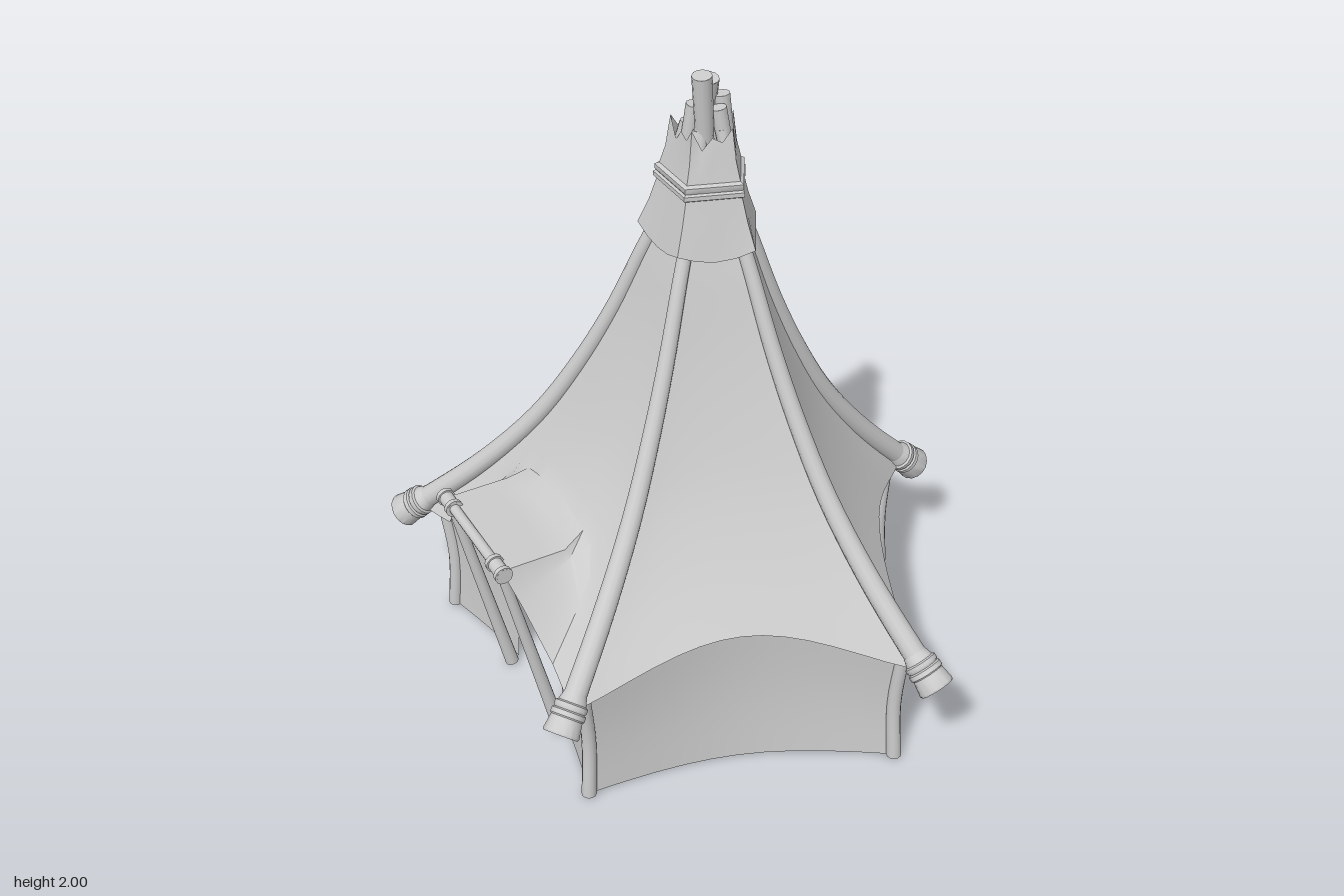
import * as THREE from 'three';
import { toCreasedNormals } from 'three/addons/utils/BufferGeometryUtils.js';
import { ParametricGeometry } from 'three/addons/geometries/ParametricGeometry.js';

const solid = new THREE.MeshStandardMaterial({ color: 0xcccccc });
const cloth = new THREE.MeshStandardMaterial({ color: 0xcccccc, side: THREE.DoubleSide });
const V = (x, y, z) => new THREE.Vector3(x, y, z);
const { lerp, clamp } = THREE.MathUtils;

// Plan: five pole tips around the peak; f = 0 at the peak axis, 1 at a tip
const AXIS = [-0.02, 0.03];
const TIPS = [[0.78, -0.03], [0.24, 0.88], [-0.76, 0.53], [-0.76, -0.61], [0.24, -0.9]];
const DOOR = 2; // the side with the doorway
const at = (k, f, y) => V(
  lerp(AXIS[0], TIPS[k % 5][0], f), y, lerp(AXIS[1], TIPS[k % 5][1], f));

// Pole profile from tip to peak: x = f, y = height
const SPINE = new THREE.CatmullRomCurve3([
  [1, 0.36], [0.93, 0.415], [0.715, 0.6], [0.53, 0.8], [0.395, 1], [0.285, 1.2],
  [0.195, 1.4], [0.15, 1.5], [0.1, 1.68], [0.06, 1.82],
].map(([f, y]) => V(f, y, 0)));

// Point on a side between corners k and k+1, pulled inward by inset
function side(k, u, f, y, inset = 0) {
  const s = f * (1 - inset * 4 * u * (1 - u));
  return at(k, s, y).lerp(at(k + 1, s, y), u);
}

// Rise of the eaves towards the middle of a side
const eaves = (u) => 0.115 * Math.pow(4 * u * (1 - u), 1.3);

function add(parent, name, geometry, material = solid) {
  const mesh = new THREE.Mesh(geometry, material);
  mesh.name = name;
  parent.add(mesh);
  return mesh;
}

function sheet(parent, name, fn, nu, nv, crease = 0.6) {
  const geo = new ParametricGeometry((u, v, p) => p.copy(fn(u, v)), nu, nv);
  return add(parent, name, toCreasedNormals(geo, crease), cloth);
}

// Tapered tube along a curve, with end caps
function rod(parent, name, points, r0, r1, segments = 1, sides = 12) {
  const curve = points.length > 2 ? new THREE.CatmullRomCurve3(points) : new THREE.LineCurve3(...points);
  const geo = new THREE.TubeGeometry(curve, segments, 1, sides);
  const pos = geo.attributes.position, p = V(0, 0, 0);
  for (let i = 0; i < pos.count; i++) {
    const t = Math.floor(i / (sides + 1)) / segments, c = curve.getPointAt(t);
    p.fromBufferAttribute(pos, i).sub(c).multiplyScalar(lerp(r0, r1, t)).add(c);
    pos.setXYZ(i, p.x, p.y, p.z);
  }
  add(parent, name, geo);
  for (const [t, r, sign] of [[0, r0, -1], [1, r1, 1]]) {
    const cap = add(parent, name + 'End', new THREE.CircleGeometry(r, sides));
    cap.position.copy(curve.getPointAt(t));
    cap.quaternion.setFromUnitVectors(V(0, 0, 1), curve.getTangentAt(t).multiplyScalar(sign));
  }
  return curve;
}

// Roof cloth; the door side is lifted into a flat awning with sloping cheeks
function roofPoint(k, u, v) {
  const s = SPINE.getPoint(lerp(0.82, 0.105, v));
  const p = side(k, u, s.x, s.y + (eaves(u) - 0.035) * v * v, (k === DOOR ? 0.05 : 0.15) * v);
  if (k === DOOR && p.y < 0.675) {
    const w = clamp((Math.min(u, 1 - u) - 1 / 7) * 7, 0, 1);
    const out = clamp((0.675 - p.y) / 0.175, 0, 1);
    const z = lerp(0.18, -0.21, clamp((u - 2 / 7) / (3 / 7), 0, 1));
    p.lerp(V(lerp(-0.52, -0.765, out), 0.675, z), w);
  }
  return p;
}

// Wall cloth, tucked up under the roof and waisted a little half way down
function wallPoint(k, u, v) {
  const f = 0.87 - 0.01 * v - 0.018 * Math.sin(Math.PI * v);
  return side(k, u, f, (0.395 + eaves(u)) * (1 - v), 0.125);
}

export function createModel() {
  const tent = new THREE.Group();
  tent.name = 'tent';

  const knob = [[0, 0], [0.051, 0], [0.054, 0.006], [0.047, 0.05], [0.051, 0.054], [0.051, 0.068],
    [0.045, 0.072], [0.049, 0.077], [0.049, 0.09], [0.042, 0.094], [0.034, 0.12]]
    .map(([r, y]) => new THREE.Vector2(r, y));

  for (let k = 0; k < 5; k++) {
    // Curved roof pole with a ringed end
    const path = SPINE.points.map((s) => at(k, s.x, s.y));
    const curve = rod(tent, 'roofPole', path, 0.035, 0.017, 28);
    const end = add(tent, 'poleEnd', toCreasedNormals(new THREE.LatheGeometry(knob, 16), 0.7));
    end.position.copy(curve.getPoint(0)).addScaledVector(curve.getTangent(0), -0.015);
    end.quaternion.setFromUnitVectors(V(0, 1, 0), curve.getTangent(0));

    sheet(tent, 'roofPanel', (u, v) => roofPoint(k, u, v), 14, 24);

    // Corner post and wall cloth; the door side leaves a gap in the middle
    rod(tent, 'cornerPost', [0, 0.5, 1].map((v) => wallPoint(k, 0, v)), 0.02, 0.022, 8);
    const spans = k === DOOR ? [[0, 0.32], [0.68, 1]] : [[0, 1]];
    for (const [a, b] of spans) {
      sheet(tent, k === DOOR ? 'doorCurtain' : 'wall', (u, v) => wallPoint(k, lerp(a, b, u), v), 10, 6);
    }
  }

  // Peak collar: five-sided, with two soft bands, a scalloped hem and a ragged top
  const collar = [[0.204, 1.495], [0.17, 1.57], [0.146, 1.64], [0.156, 1.645], [0.156, 1.658], [0.148, 1.663],
    [0.152, 1.668], [0.152, 1.681], [0.138, 1.687], [0.12, 1.74], [0.104, 1.79]];
  const teeth = [0.045, 0.005, 0.02, -0.015, 0.045];
  for (let k = 0; k < 5; k++) {
    sheet(tent, 'peakCollar', (u, v) => {
      const [f, y] = collar[Math.round(v * 10)];
      const edge = v > 0.99 ? teeth[Math.round(u * 8) / 2 | 0] : v < 0.01 ? -0.1 * u * (1 - u) : 0;
      return side(k, u, f, y + edge);
    }, 4, 10, 0.7);
  }

  // Pole tops crossing above the collar: base x, z, then top x, y, z and radius
  for (const [bx, bz, x, y, z, r] of [
    [-0.035, 0.05, -0.066, 1.99, 0.082, 0.028], [0, -0.04, -0.014, 1.95, 0.03, 0.027],
    [0.04, 0.05, 0.02, 1.9, 0.035, 0.023], [-0.02, -0.03, 0.005, 1.93, -0.01, 0.023],
    [-0.08, 0.08, -0.04, 1.92, 0.05, 0.022], [0.02, 0.09, -0.01, 1.88, 0.07, 0.023],
    [-0.08, 0, -0.055, 1.88, 0.02, 0.023],
  ]) rod(tent, 'poleTop', [V(bx, 1.68, bz), V(x, y, z)], r * 0.85, r);

  // Awning bar, its end grips and the two props
  rod(tent, 'awningBar', [V(-0.765, 0.67, -0.2), V(-0.765, 0.67, 0.17)], 0.016, 0.016);
  for (const z of [-0.19, 0.16]) {
    for (const [d, r, h] of [[0, 0.022, 0.075], [-0.03, 0.027, 0.014], [0.03, 0.027, 0.014]]) {
      const grip = add(tent, 'awningGrip', new THREE.CylinderGeometry(r, r, h, 14));
      grip.rotation.x = Math.PI / 2;
      grip.position.set(-0.765, 0.67, z + d);
    }
    rod(tent, 'awningProp', [V(-0.76, 0.66, z), V(-0.615, 0, z + 0.02)], 0.015, 0.021);
  }
  return tent;
}
